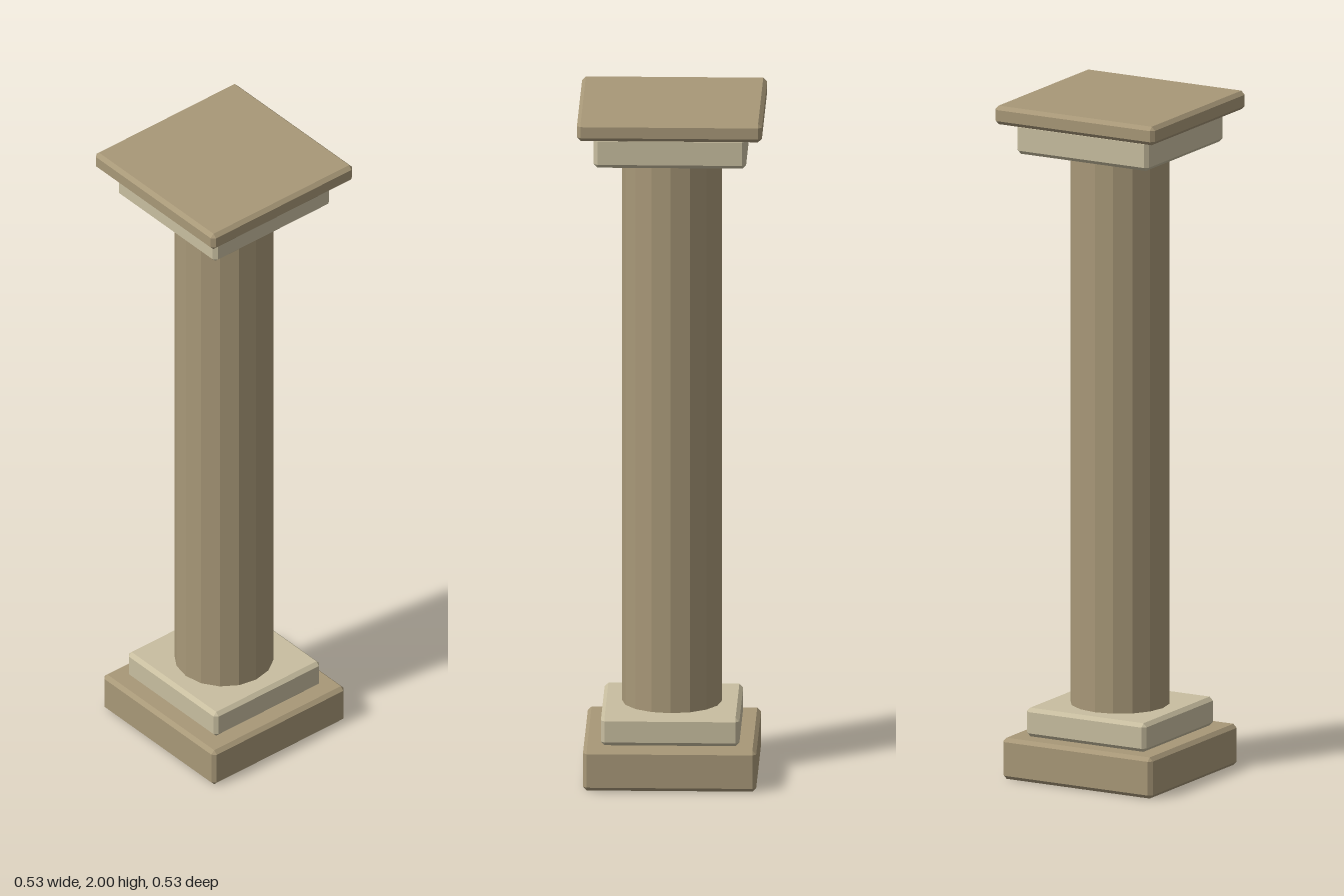
import * as THREE from 'three';
import { ConvexGeometry } from 'three/addons/geometries/ConvexGeometry.js';

// Box with every edge and corner chamfered by b, centred on the axis
function chamferedSlab(half, y0, y1, b) {
  const h = (y1 - y0) / 2, points = [];
  for (const sx of [-1, 1]) for (const sy of [-1, 1]) for (const sz of [-1, 1]) {
    points.push(
      new THREE.Vector3(sx * half, sy * (h - b), sz * (half - b)),
      new THREE.Vector3(sx * (half - b), sy * h, sz * (half - b)),
      new THREE.Vector3(sx * (half - b), sy * (h - b), sz * half)
    );
  }
  return new ConvexGeometry(points).translate(0, (y0 + y1) / 2, 0);
}

export function createModel() {
  const group = new THREE.Group();
  group.name = 'column';
  const stone = new THREE.MeshStandardMaterial({ color: 0xa89878, flatShading: true });
  stone.name = 'tan stone';
  const pale = new THREE.MeshStandardMaterial({ color: 0xc8bea0, flatShading: true });
  pale.name = 'pale stone';

  const add = (name, geometry, material) => {
    const mesh = new THREE.Mesh(geometry, material);
    mesh.name = name;
    group.add(mesh);
  };

  // Square slabs: name, half width, bottom, top, material
  const slabs = [
    ['plinth', 0.25, 0, 0.122, stone],
    ['baseBlock', 0.2, 0.122, 0.207, pale],
    ['capitalBlock', 0.22, 1.853, 1.945, pale],
    ['abacus', 0.267, 1.945, 2, stone],
  ];
  for (const [name, half, y0, y1, material] of slabs) {
    add(name, chamferedSlab(half, y0, y1, 0.011), material);
  }

  // Sixteen-sided shaft
  add('shaft', new THREE.CylinderGeometry(0.144, 0.144, 1.65, 16).translate(0, 1.03, 0), stone);

  return group;
}
